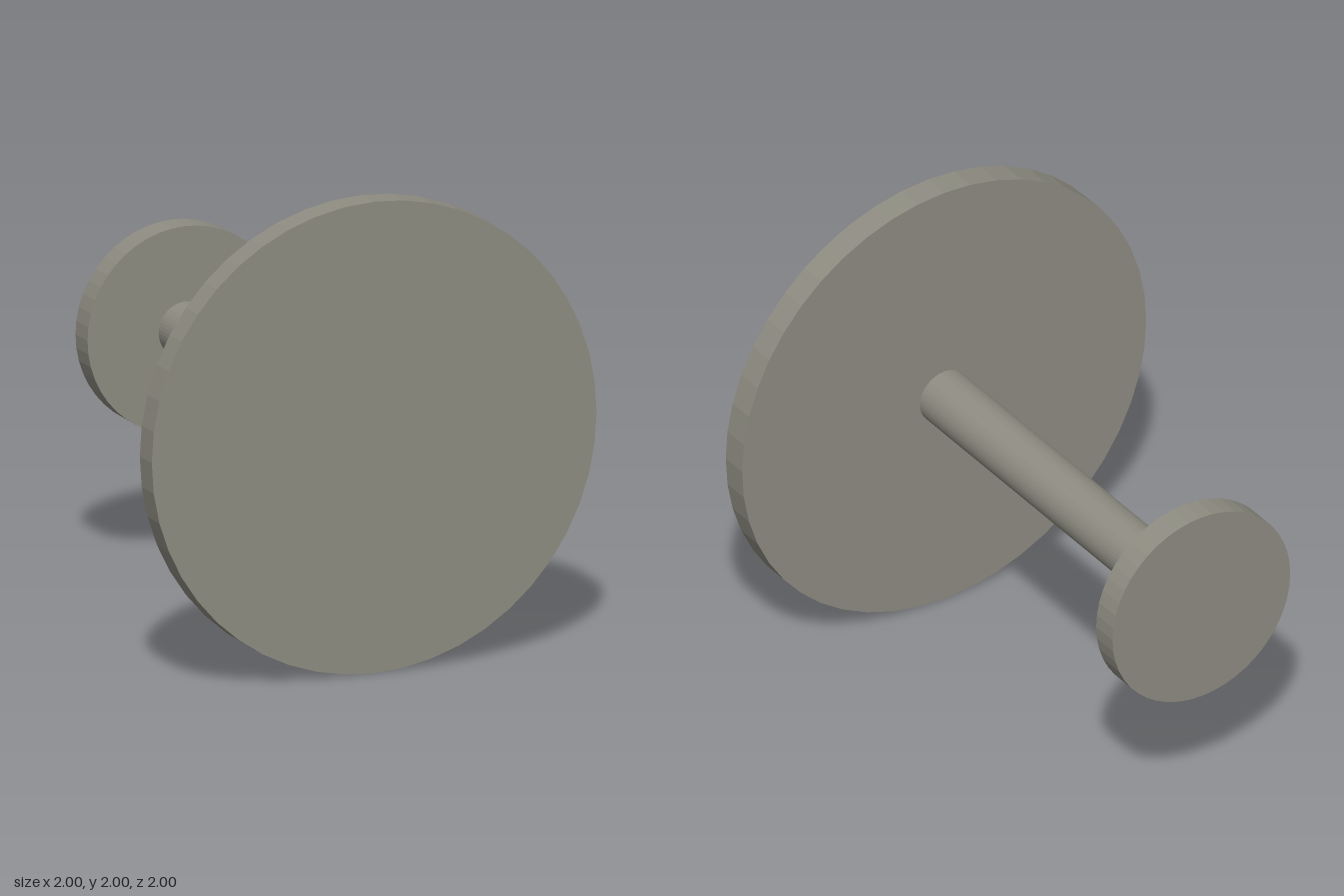
import * as THREE from 'three';

export function createModel() {
  const group = new THREE.Group();
  const metal = new THREE.MeshStandardMaterial({ color: 0x8f8d82, flatShading: true });
  metal.name = 'warmGreyMetal';

  // Round part lying along z, centred at height 1
  const addDisc = (name, radius, zBack, zFront) => {
    const geometry = new THREE.CylinderGeometry(radius, radius, zFront - zBack, 48);
    geometry.rotateX(Math.PI / 2);
    const mesh = new THREE.Mesh(geometry, metal);
    mesh.name = name;
    mesh.position.set(0, 1, (zBack + zFront) / 2);
    group.add(mesh);
  };

  addDisc('frontPlate', 1, 0.88, 1);
  addDisc('shaft', 0.12, -0.88, 0.88);
  addDisc('rearPlate', 0.44, -1, -0.88);

  return group;
}
